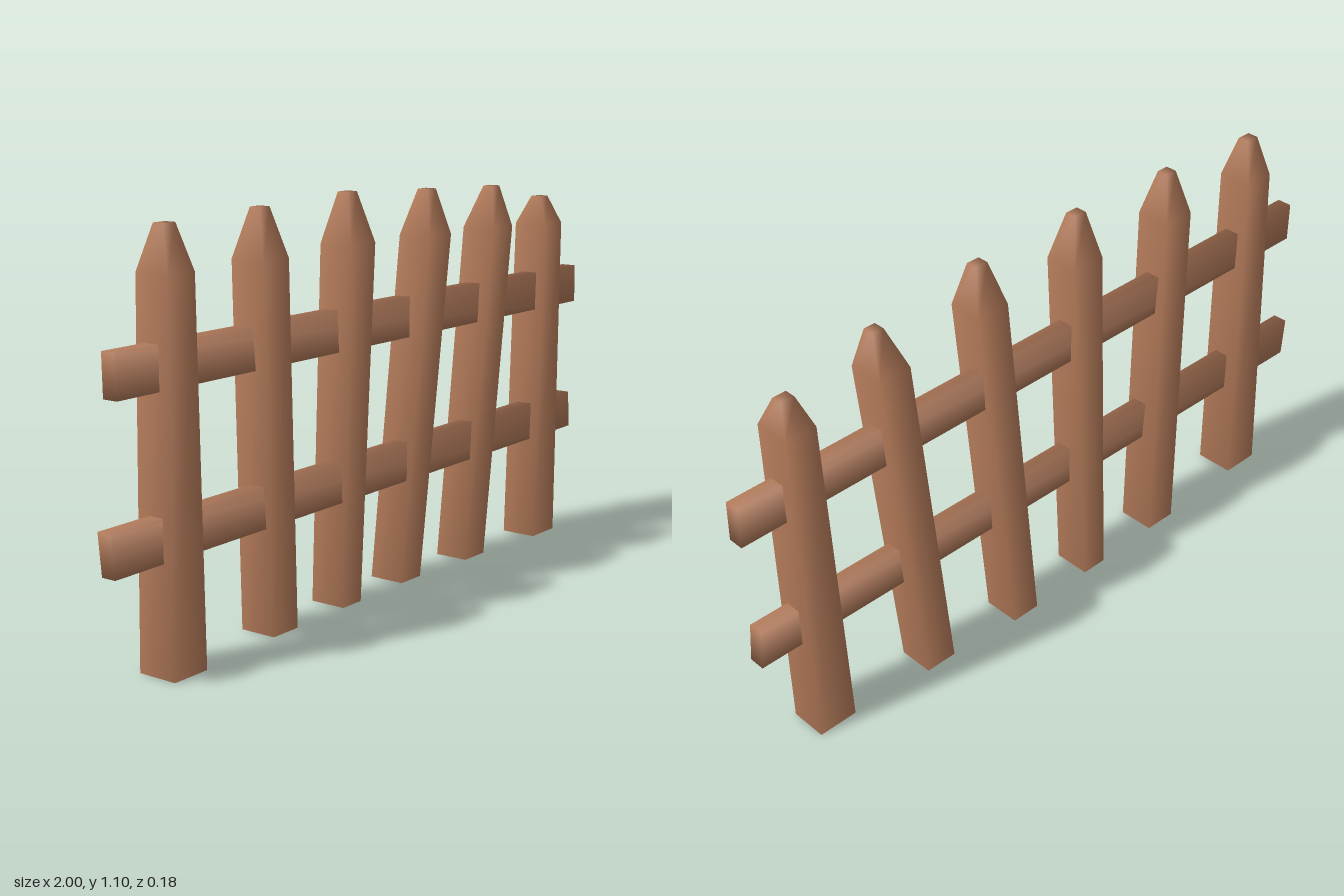
import * as THREE from 'three';

const wood = new THREE.MeshStandardMaterial({ color: 0xb47b5a, side: THREE.DoubleSide });
wood.name = 'wood';

// Skins four-cornered rings with rounded-looking normals; each ring is { points, normals }
function skin(rings, capStart, name) {
  const positions = [], normals = [], index = [];
  for (const ring of rings) {
    for (let i = 0; i < 4; i++) {
      positions.push(...ring.points[i]);
      normals.push(...new THREE.Vector3(...ring.normals[i]).normalize().toArray());
    }
  }
  for (let r = 0; r < rings.length - 1; r++) {
    for (let i = 0; i < 4; i++) {
      const a = r * 4 + i, b = r * 4 + (i + 1) % 4;
      index.push(a, b, b + 4, a, b + 4, a + 4);
    }
  }
  const e = (rings.length - 1) * 4;
  index.push(e, e + 1, e + 2, e, e + 2, e + 3);
  if (capStart) index.push(0, 2, 1, 0, 3, 2);
  const geometry = new THREE.BufferGeometry();
  geometry.setAttribute('position', new THREE.Float32BufferAttribute(positions, 3));
  geometry.setAttribute('normal', new THREE.Float32BufferAttribute(normals, 3));
  geometry.setIndex(index);
  const mesh = new THREE.Mesh(geometry, wood);
  mesh.name = name;
  return mesh;
}

// Horizontal ring of a picket; lift tilts its normals upward
function picketRing(y, x0, x1, z0, z1, lift) {
  return {
    points: [[x0, y, z1], [x1, y, z1], [x1, y, z0], [x0, y, z0]],
    normals: [[-1, lift, 1], [1, lift, 1], [1, lift, -1], [-1, lift, -1]],
  };
}

// Upright end ring of a rail; the bottom edge may be offset along x
function railRing(xTop, xBottom, y0, y1, z0, z1, side) {
  return {
    points: [[xBottom, y0, z1], [xBottom, y0, z0], [xTop, y1, z0], [xTop, y1, z1]],
    normals: [[side, -1, 1], [side, -1, -1], [side, 1, -1], [side, 1, 1]],
  };
}

export function createModel() {
  const fence = new THREE.Group();
  fence.name = 'picketFence';

  // Leaning pickets: foot [x0, x1, z0, z1], shoulder [y, x0, x1, z0, z1], tip [y, x0, x1]
  const pickets = [
    { foot: [-0.83, -0.718, -0.063, 0.05], shoulder: [0.965, -0.835, -0.745, -0.04, 0.06], tip: [1.078, -0.81, -0.77] },
    { foot: [-0.44, -0.345, -0.08, 0.025], shoulder: [0.965, -0.52, -0.425, -0.027, 0.073], tip: [1.09, -0.49, -0.455] },
    { foot: [-0.148, -0.072, -0.085, 0.02], shoulder: [0.97, -0.18, -0.078, -0.025, 0.073], tip: [1.102, -0.15, -0.112] },
    { foot: [0.123, 0.209, -0.09, 0.015], shoulder: [0.965, 0.142, 0.242, -0.01, 0.088], tip: [1.087, 0.178, 0.216] },
    { foot: [0.415, 0.508, -0.07, 0.03], shoulder: [0.955, 0.487, 0.583, -0.037, 0.065], tip: [1.07, 0.533, 0.566] },
    { foot: [0.745, 0.858, -0.052, 0.053], shoulder: [0.94, 0.783, 0.872, -0.05, 0.053], tip: [1.02, 0.81, 0.848] },
  ];
  for (const { foot, shoulder, tip } of pickets) {
    const z = (shoulder[3] + shoulder[4]) / 2;
    fence.add(skin([
      picketRing(0, ...foot, 0),
      picketRing(...shoulder, 0.35),
      picketRing(...tip, z - 0.016, z + 0.016, 1),
    ], false, 'picket'));
  }

  // Two slightly crooked rails running through the pickets
  fence.add(skin([
    railRing(-0.972, -0.97, 0.695, 0.805, -0.018, 0.025, -1),
    railRing(0.998, 1.0, 0.687, 0.797, -0.016, 0.028, 1),
  ], true, 'upperRail'));
  fence.add(skin([
    railRing(-1.0, -0.99, 0.285, 0.395, -0.018, 0.024, -1),
    railRing(0.977, 0.986, 0.298, 0.406, -0.018, 0.027, 1),
  ], true, 'lowerRail'));

  return fence;
}
